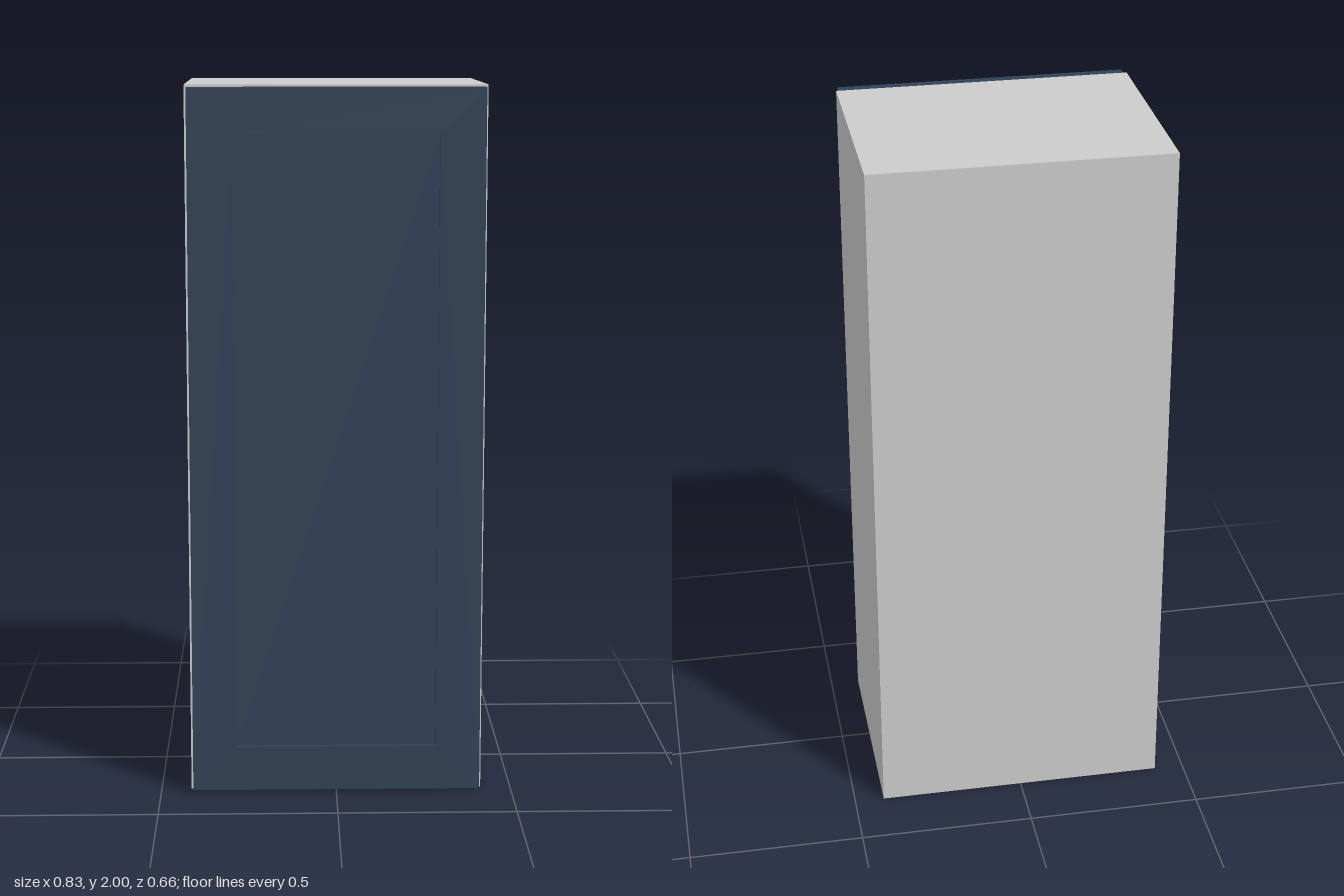
import * as THREE from 'three';

const W = 0.83, H = 2, T = 0.04;      // carcass width, height, board thickness
const BACK = -0.33, FRONT = 0.287;    // carcass depth range
const DOOR_FRONT = 0.33;

export function createModel() {
  const cabinet = new THREE.Group();
  cabinet.name = 'wallCabinet';
  const grey = new THREE.MeshStandardMaterial({ color: 0xcccccc });
  const blue = new THREE.MeshStandardMaterial({ color: 0x314257 });

  const add = (name, geometry, material, x, y, z, parent = cabinet) => {
    const mesh = new THREE.Mesh(geometry, material);
    mesh.name = name;
    mesh.position.set(x, y, z);
    parent.add(mesh);
  };
  const depth = FRONT - BACK, midZ = (FRONT + BACK) / 2, inner = W - 2 * T;

  // Carcass: two sides, top and bottom boards between them, and a back
  for (const s of [-1, 1]) {
    add(s > 0 ? 'leftSide' : 'rightSide', new THREE.BoxGeometry(T, H, depth), grey, s * (W - T) / 2, H / 2, midZ);
  }
  add('bottomBoard', new THREE.BoxGeometry(inner, T, depth), grey, 0, T / 2, midZ);
  add('topBoard', new THREE.BoxGeometry(inner, T, depth), grey, 0, H - T / 2, midZ);
  add('backBoard', new THREE.BoxGeometry(inner, H - 2 * T, T), grey, 0, H / 2, BACK + T / 2);

  // Door: a frame with a slightly recessed centre panel
  const door = new THREE.Group();
  door.name = 'door';
  cabinet.add(door);
  const rect = (path, x, y0, y1) =>
    path.moveTo(-x, y0).lineTo(x, y0).lineTo(x, y1).lineTo(-x, y1).closePath();
  const frame = rect(new THREE.Shape(), 0.408, 0.01, 1.994);
  frame.holes.push(rect(new THREE.Path(), 0.282, 0.138, 1.868));
  add('doorFrame', new THREE.ExtrudeGeometry(frame, { depth: DOOR_FRONT - FRONT, bevelEnabled: false }),
    blue, 0, 0, FRONT, door);
  const panelDepth = 0.03;
  add('doorPanel', new THREE.BoxGeometry(0.564, 1.73, panelDepth), blue, 0, 1.003, FRONT + panelDepth / 2, door);

  return cabinet;
}
